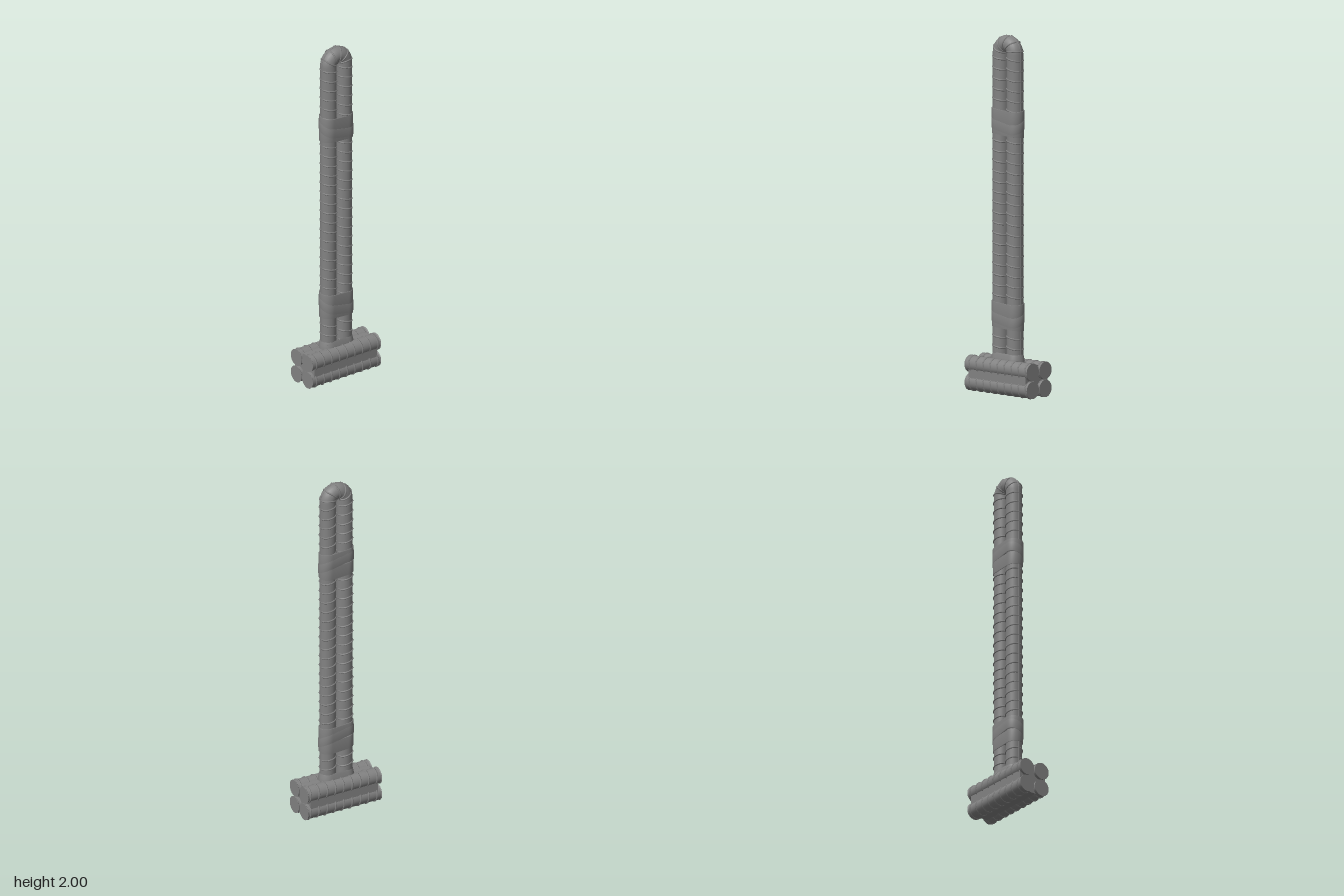
import * as THREE from 'three';
import { mergeGeometries } from 'three/addons/utils/BufferGeometryUtils.js';

const material = new THREE.MeshStandardMaterial({ color: 0x828282, side: THREE.DoubleSide });
const BAR = 0.0455;        // bar radius
const LEG = 0.0535;        // distance of each handle leg from the centre
const BEND_Y = 1.8995;     // centre of the handle's bend
const FOOT_Y = 0.15;       // where the legs end inside the head
const LEG_LENGTH = BEND_Y - FOOT_Y;
const ARC = Math.PI * LEG;

class RuleCurve extends THREE.Curve {
  constructor(rule) { super(); this.rule = rule; }
  getPoint(t) { return this.rule(t); }
}

function mesh(name, geometry) {
  const m = new THREE.Mesh(geometry, material);
  m.name = name;
  return m;
}

// Point on the folded bar: s runs along it, angle a goes round it (0 = +x)
function handlePoint(s, a, r) {
  const out = r * Math.sin(a), x = r * Math.cos(a);
  if (s < LEG_LENGTH) return new THREE.Vector3(x, FOOT_Y + s, LEG + out);
  if (s > LEG_LENGTH + ARC) return new THREE.Vector3(x, BEND_Y - (s - LEG_LENGTH - ARC), -LEG - out);
  const b = (s - LEG_LENGTH) / LEG;
  return new THREE.Vector3(x, BEND_Y + Math.sin(b) * (LEG + out), Math.cos(b) * (LEG + out));
}

function buildHandle() {
  const group = new THREE.Group();
  group.name = 'handle';
  const total = 2 * LEG_LENGTH + ARC;

  // Folded bar, swept with dense sections round the bend
  const stations = [0];
  for (let i = 0; i <= 20; i++) stations.push(LEG_LENGTH + (ARC * i) / 20);
  stations.push(total);
  const positions = [], index = [], n = 24;
  stations.forEach((s, j) => {
    for (let i = 0; i < n; i++) {
      positions.push(...handlePoint(s, (i / n) * Math.PI * 2, BAR).toArray());
      if (j === 0) continue;
      const a = (j - 1) * n + i, b = (j - 1) * n + ((i + 1) % n);
      index.push(a, a + n, b, b, a + n, b + n);
    }
  });
  const bar = new THREE.BufferGeometry();
  bar.setAttribute('position', new THREE.Float32BufferAttribute(positions, 3));
  bar.setIndex(index);
  bar.computeVertexNormals();
  group.add(mesh('foldedBar', bar));

  // Ribs running lengthwise on the outside and inside of the fold
  const seams = [1, -1].map((side) => new THREE.TubeGeometry(
    new RuleCurve((t) => handlePoint(t * total, (side * Math.PI) / 2, BAR - 0.002)), 300, 0.0035, 6));
  group.add(mesh('lengthwiseRibs', mergeGeometries(seams)));

  // Slanted crescent ribs on both sides, closer together round the bend
  const ribStations = [];
  for (let i = 1; i <= 30; i++) ribStations.push((i / 30.5) * LEG_LENGTH, total - (i / 30.5) * LEG_LENGTH);
  for (let i = 0; i < 5; i++) ribStations.push(LEG_LENGTH + (ARC * (i + 0.5)) / 5);
  const ribs = [];
  for (const station of ribStations) {
    for (const side of [0, Math.PI]) {
      ribs.push(new THREE.TubeGeometry(new RuleCurve((t) => {
        const a = (t - 0.5) * Math.PI * 0.97;
        const angle = side ? Math.PI - a : a;
        const r = BAR - 0.004 * Math.pow(Math.abs(2 * t - 1), 4);
        return handlePoint(station + 0.009 * Math.sin(a), angle, r);
      }), 14, 0.0048, 6));
    }
  }
  group.add(mesh('crossRibs', mergeGeometries(ribs)));
  return group;
}

// Point on a stadium outline round both legs
function stadium(t, r) {
  const straight = 2 * LEG, round = Math.PI * r;
  let d = t * 2 * (straight + round);
  const half = d >= straight + round ? -1 : 1;
  if (half < 0) d -= straight + round;
  if (d < straight) return [half * r, half * (d - LEG)];
  const a = (d - straight) / r;
  return [half * r * Math.cos(a), half * (LEG + r * Math.sin(a))];
}

// Closed stadium skin: each ring is [radius, height, tilt along z, tilt along x]
function stadiumLoft(rings, n = 64) {
  const positions = [], index = [];
  rings.forEach(([r, y, tiltZ, tiltX], j) => {
    for (let i = 0; i < n; i++) {
      const [x, z] = stadium(i / n, r);
      positions.push(x, y + tiltZ * z + tiltX * x, z);
      if (j === 0) continue;
      const a = (j - 1) * n + i, b = (j - 1) * n + ((i + 1) % n);
      index.push(a, a + n, b, b, a + n, b + n);
    }
  });
  const g = new THREE.BufferGeometry();
  g.setAttribute('position', new THREE.Float32BufferAttribute(positions, 3));
  g.setIndex(index);
  g.computeVertexNormals();
  return g;
}

// Overlapping strips wound round the two legs: [offset, half height, radius, tilt z, tilt x]
function buildWrap(y) {
  const strips = [
    [-0.037, 0.036, 0.0505, 0.06, 0.08],
    [0.037, 0.036, 0.0515, 0.06, -0.08],
    [0, 0.026, 0.0535, 0.18, -0.45],
  ].map(([dy, h, r, tz, tx]) => stadiumLoft([
    [r - 0.006, y + dy - h - 0.001, tz, tx],
    [r, y + dy - h, tz, tx],
    [r, y + dy + h, tz, tx],
    [r - 0.006, y + dy + h + 0.001, tz, tx],
  ]));
  return mesh('wrap', mergeGeometries(strips));
}

function buildHead() {
  const group = new THREE.Group();
  group.name = 'head';
  const length = 0.475, midY = 0.102, offset = 0.0505;

  // Flat-ended bar with a thin lip at both ends
  const h = length / 2;
  const profile = [[0, -h], [0.0485, -h], [0.0485, -h + 0.002], [BAR, -h + 0.005],
    [BAR, h - 0.005], [0.0485, h - 0.002], [0.0485, h], [0, h]];
  const parts = [];
  for (let i = 0; i < profile.length - 1; i++) {
    parts.push(new THREE.LatheGeometry([profile[i], profile[i + 1]].map((p) => new THREE.Vector2(...p)), 32));
  }
  const barGeometry = mergeGeometries(parts).rotateX(Math.PI / 2);

  // Slightly slanted ribs
  const ribs = [];
  for (let i = -4; i <= 4; i++) {
    ribs.push(new THREE.TorusGeometry(BAR - 0.0005, 0.0055, 6, 32).rotateX(0.09).translate(0, 0, i * 0.0533 - 0.006));
  }
  const ribGeometry = mergeGeometries(ribs);

  for (const x of [-offset, offset]) {
    for (const y of [midY - offset, midY + offset]) {
      const bar = new THREE.Group();
      bar.name = 'headBar';
      bar.add(mesh('bar', barGeometry), mesh('barRibs', ribGeometry));
      bar.position.set(x, y, 0);
      group.add(bar);
    }
  }

  // Weld filling the valleys between the four bars, fullest at the sides
  const shape = new THREE.Shape();
  [[0.088, -0.033], [0.088, 0.033], [0.022, 0.083], [-0.022, 0.083],
    [-0.088, 0.033], [-0.088, -0.033], [-0.024, -0.088], [0.024, -0.088]]
    .forEach(([x, y], i) => (i ? shape.lineTo(x, y) : shape.moveTo(x, y)));
  const weld = new THREE.ExtrudeGeometry(shape, { depth: 0.436, bevelEnabled: false });
  group.add(mesh('headWeld', weld.translate(0, midY, -0.218)));
  return group;
}

export function createModel() {
  const model = new THREE.Group();
  model.name = 'hammer';
  model.add(buildHandle(), buildHead());
  for (const y of [0.44, 1.515]) model.add(buildWrap(y));

  // Weld collar where the handle meets the head
  model.add(mesh('handleWeld', stadiumLoft([
    [0.056, 0.165, 0, 0], [0.054, 0.195, 0, 0], [0.051, 0.206, 0, 0], [0.048, 0.222, 0, 0], [0.044, 0.232, 0, 0],
  ])));
  return model;
}
